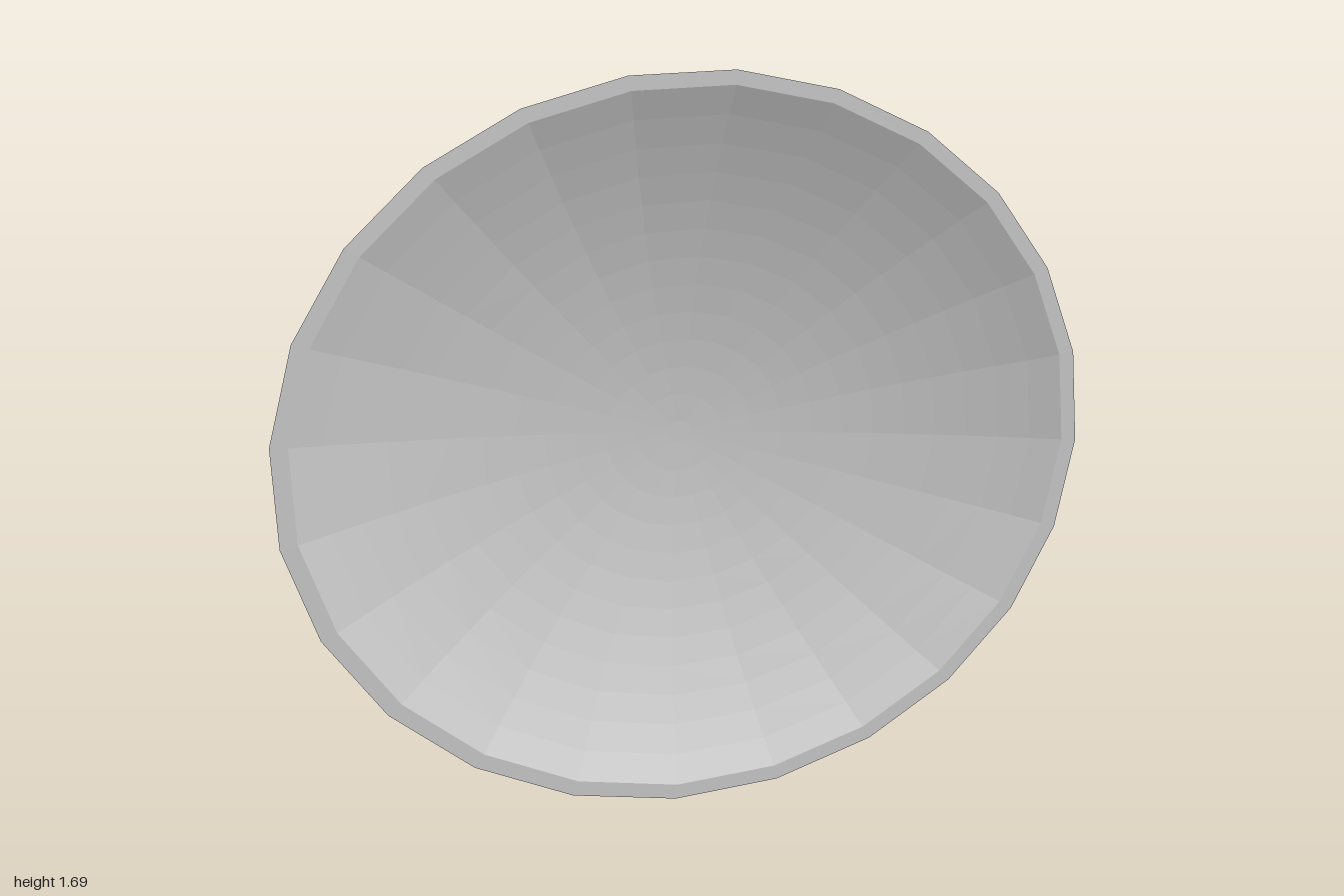
import * as THREE from 'three';

const SIDES = 24, RX = 1.003, RY = 0.8455, CENTRE_Y = 0.843;
const TWIST = THREE.MathUtils.degToRad(-4.3);

// Revolves a [radius, z] profile about z and squashes it into an ellipse
function ellipticLathe(name, profile) {
  const points = profile.map(([r, z]) => new THREE.Vector2(r, z));
  const geometry = new THREE.LatheGeometry(points, SIDES, TWIST);
  geometry.rotateX(Math.PI / 2);
  geometry.scale(RX, RY, 1);
  const material = new THREE.MeshStandardMaterial({ color: 0xcccccc, flatShading: true });
  const mesh = new THREE.Mesh(geometry, material);
  mesh.name = name;
  return mesh;
}

export function createModel() {
  const model = new THREE.Group();
  model.name = 'ovalDish';

  // Shallow bowl: outer curve, flat rim, inner curve, small flat centre
  const rings = 12, rimZ = 0.105, depth = 0.172, innerR = 0.96;
  const outer = [], inner = [];
  for (let i = 0; i <= rings; i++) {
    const t = i / rings;
    outer.push([t, rimZ - depth * (1 - t * t)]);
    const r = THREE.MathUtils.lerp(0.03, innerR, t);
    inner.unshift([r, rimZ - 0.16 * (1 - (r / innerR) ** 2)]);
  }
  inner.push([0, inner[rings][1]]);
  model.add(ellipticLathe('bowl', [...outer, ...inner]));

  // Foot: thick disc with a fully rounded edge
  const tube = 0.025, footR = 0.284, footZ = -0.08, steps = 8;
  const foot = [[0, footZ - tube]];
  for (let i = 0; i <= steps; i++) {
    const a = -Math.PI / 2 + (Math.PI * i) / steps;
    foot.push([footR + tube * Math.cos(a), footZ + tube * Math.sin(a)]);
  }
  foot.push([0, footZ + tube]);
  model.add(ellipticLathe('foot', foot));

  model.position.y = CENTRE_Y;
  return model;
}
